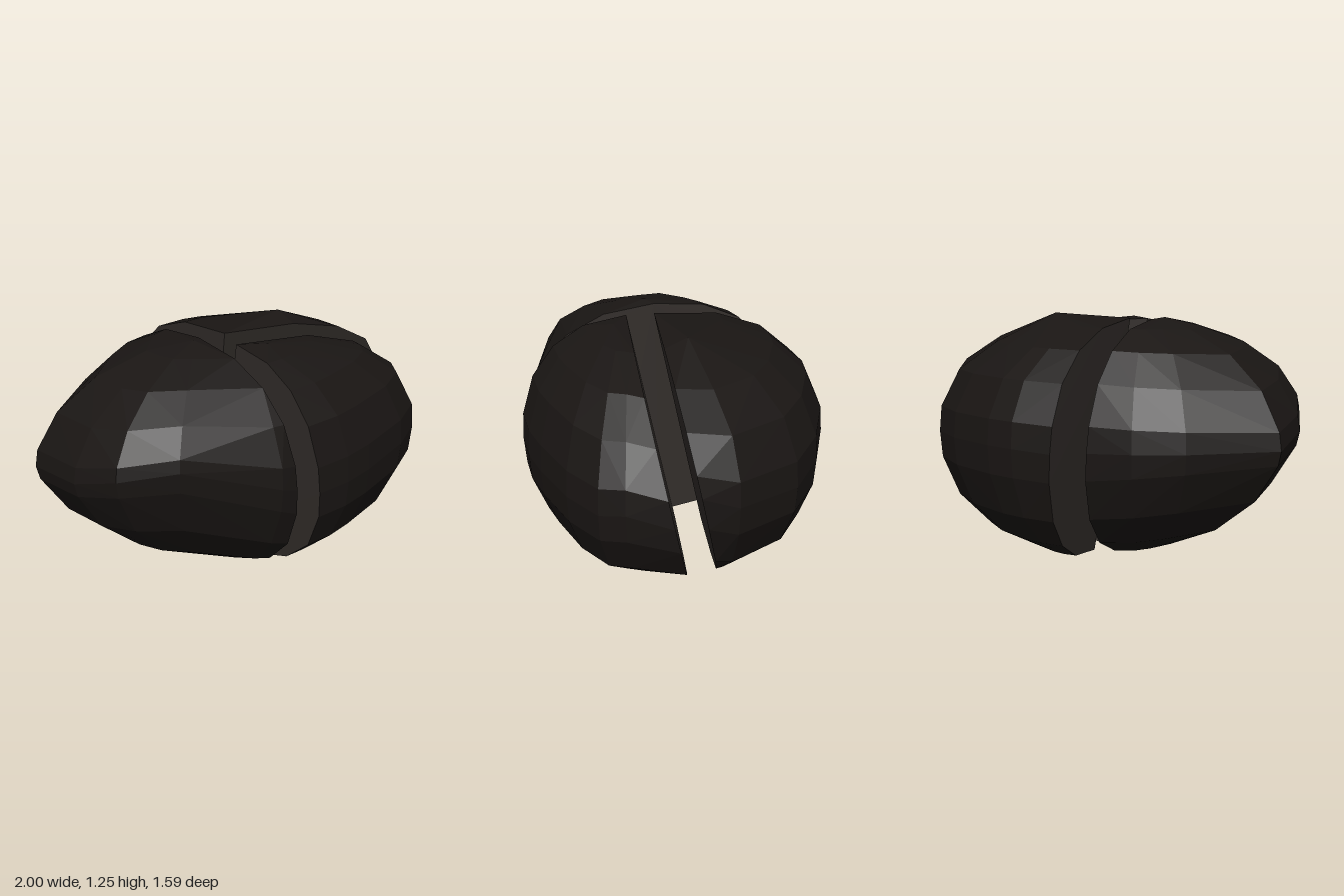
import * as THREE from 'three';
import { ConvexGeometry } from 'three/addons/geometries/ConvexGeometry.js';

const crustMaterial = new THREE.MeshStandardMaterial({ color: 0x1a1614, flatShading: true });
const crackMaterial = new THREE.MeshStandardMaterial({ color: 0x322d2a, flatShading: true });
const STEPS = 9;

// The inner axis passes x, z at y = 1.2 and leans by lean per unit of height. The first and
// last waist points are the rims of the crack faces, leaning by rimLeans. Peaks are bulges
// away from the axis. Meridians grow more pointed by taper towards the middle of the waist.
function buildFragment({ name, axis, lean, top, bottom, rimLeans, peaks, roundness, taper, waist }) {
  const axisAt = (y) => new THREE.Vector3(
    axis[0] + lean[0] * (y - 1.2), y, axis[1] + lean[1] * (y - 1.2));
  const last = waist.length - 1;

  // Rounded meridians run from the bottom to the top through each waist point
  const points = peaks.map((peak) => new THREE.Vector3(...peak));
  waist.forEach(([px, py, pz], index) => {
    const [leanX, leanZ] = index === 0 ? rimLeans[0] : index === last ? rimLeans[1] : [0, 0];
    const pointed = Math.sin(Math.PI * index / last);
    for (let i = 0; i <= STEPS; i++) {
      const angle = (i / STEPS - 0.5) * Math.PI;
      const power = 2 / (roundness - pointed * taper[angle > 0 ? 0 : 1]);
      const out = Math.max(0, Math.cos(angle)) ** power;
      const rise = Math.abs(Math.sin(angle)) ** power;
      const y = py + rise * ((angle > 0 ? top : bottom) - py);
      const rim = new THREE.Vector3(px + leanX * (y - py), y, pz + leanZ * (y - py));
      points.push(axisAt(y).lerp(rim, out));
    }
    points.push(new THREE.Vector3(px, py, pz));
  });
  const hull = new ConvexGeometry(points).getAttribute('position');

  // Crack planes pass through the axis and the first and last rim
  const planes = [waist[0], waist[last]].map((rim) =>
    new THREE.Plane().setFromCoplanarPoints(axisAt(top), axisAt(bottom), new THREE.Vector3(...rim)));

  // Sort the hull faces into weathered crust and fresh crack surface
  const crust = [], crack = [];
  for (let i = 0; i < hull.count; i += 3) {
    const corners = [0, 1, 2].map((k) => new THREE.Vector3().fromBufferAttribute(hull, i + k));
    const onCrack = planes.some((p) => corners.every((c) => Math.abs(p.distanceToPoint(c)) < 0.015));
    (onCrack ? crack : crust).push(...corners);
  }

  const group = new THREE.Group();
  group.name = name;
  for (const [part, corners, material] of [
    ['crust', crust, crustMaterial], ['crackFace', crack, crackMaterial]]) {
    const geometry = new THREE.BufferGeometry().setFromPoints(corners);
    geometry.computeVertexNormals();
    const mesh = new THREE.Mesh(geometry, material);
    mesh.name = part;
    group.add(mesh);
  }
  return group;
}

export function createModel() {
  const rock = new THREE.Group();
  rock.name = 'splitRock';

  // Pointed half on one side of the main crack
  rock.add(buildFragment({
    name: 'rightFragment', axis: [-0.164, 0.118], lean: [-0.062, 0.034], top: 1.23, bottom: 0.03,
    rimLeans: [[-0.062, 0.034], [-0.062, 0.034]], peaks: [[-0.2, 1.24, 0.18]],
    roundness: 2.3, taper: [0.45, 0.72],
    waist: [
      [-0.46, 0.65, -0.5], [-0.65, 0.66, -0.38], [-0.8, 0.66, -0.18], [-0.88, 0.64, 0],
      [-1, 0.66, 0.23], [-0.83, 0.7, 0.53], [-0.65, 0.78, 0.71], [-0.37, 0.84, 0.79],
      [-0.15, 0.78, 0.745], [0.12, 0.68, 0.74], [0.2, 0.65, 0.7],
    ],
  }));

  // The other half is split in two by a slanting crack
  rock.add(buildFragment({
    name: 'backFragment', axis: [-0.03, 0.08], lean: [0.023, 0.211], top: 1.23, bottom: 0.03,
    rimLeans: [[-0.063, 0.03], [0.023, 0.211]], peaks: [[0.3, 1.25, -0.16], [0.15, 0.05, -0.35]],
    roundness: 2.35, taper: [0, 0],
    waist: [
      [-0.38, 0.65, -0.65], [-0.2, 0.66, -0.75], [-0.05, 0.66, -0.79], [0.27, 0.65, -0.8],
      [0.54, 0.64, -0.74], [0.85, 0.68, -0.52], [0.93, 0.75, -0.36],
    ],
  }));
  rock.add(buildFragment({
    name: 'leftFragment', axis: [0, 0.22], lean: [0.047, 0.203], top: 1.22, bottom: 0.02,
    rimLeans: [[-0.059, 0.038], [0.047, 0.203]], peaks: [[0.15, 1.225, 0.25], [0.22, 0, 0.1]],
    roundness: 2.35, taper: [0, 0],
    waist: [
      [0.31, 0.62, 0.7], [0.48, 0.62, 0.61], [0.62, 0.62, 0.5], [0.86, 0.64, 0.29],
      [0.99, 0.64, 0.1], [1, 0.66, -0.03], [0.97, 0.6, -0.25],
    ],
  }));
  return rock;
}
